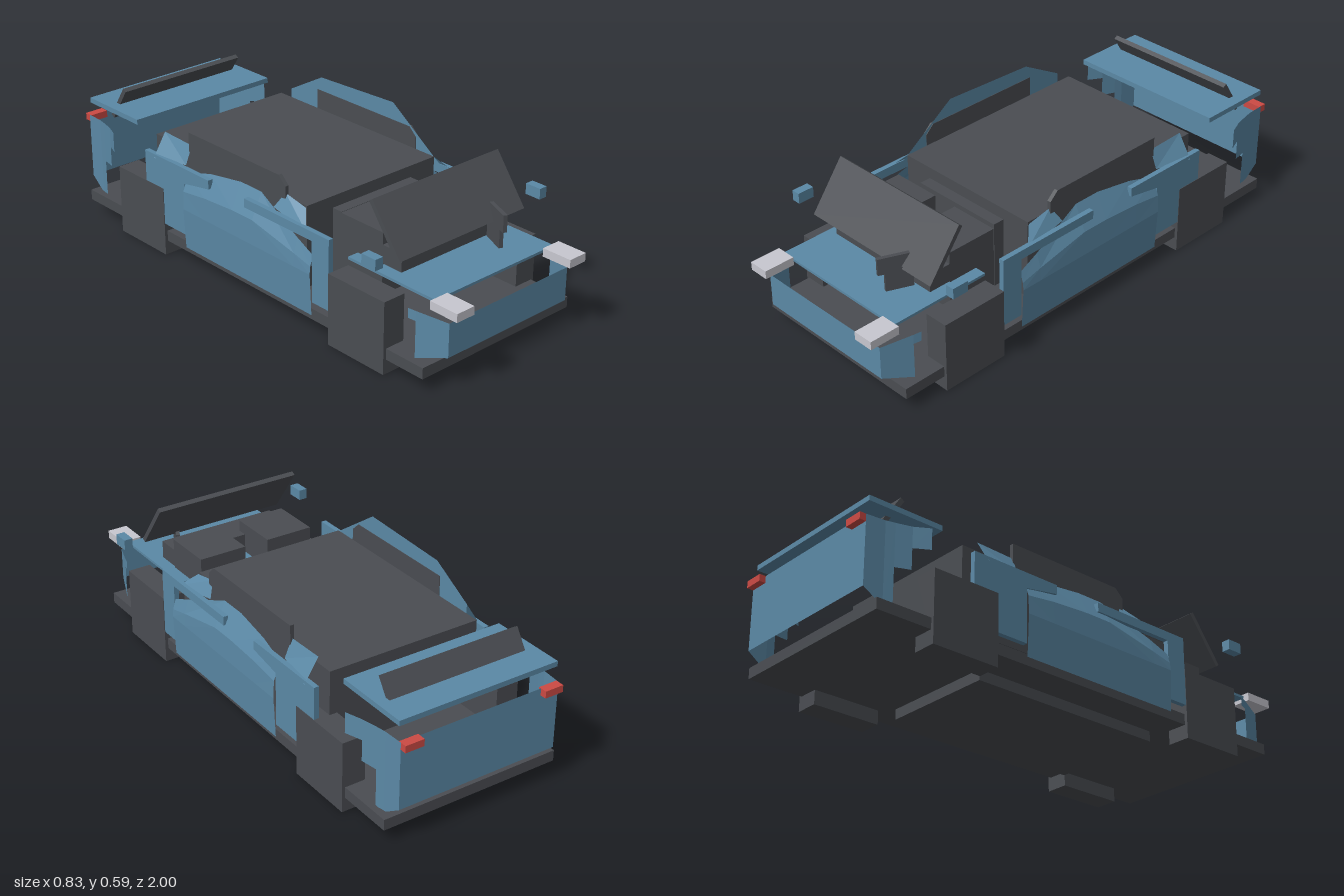
import * as THREE from 'three';

const paint = (name, color) => Object.assign(new THREE.MeshStandardMaterial({ color, side: THREE.DoubleSide, flatShading: true }), { name });

export function createModel() {
  const blue = paint('bodyBlue', 0x5b89a6);
  const dark = paint('darkGrey', 0x4a4d52);
  const pale = paint('lampGrey', 0xc8c8d0);
  const red = paint('tailRed', 0xcc4a44);
  const inward = paint('innerBodyBlue', 0x5b89a6);
  inward.side = THREE.FrontSide;

  const car = new THREE.Group();
  car.name = 'car';

  const add = (name, geometry, material) => {
    const mesh = new THREE.Mesh(geometry, material);
    mesh.name = name;
    car.add(mesh);
    return mesh;
  };

  // Box given by its limits on each axis
  const block = (x0, x1, y0, y1, z0, z1) =>
    new THREE.BoxGeometry(x1 - x0, y1 - y0, z1 - z0).translate((x0 + x1) / 2, (y0 + y1) / 2, (z0 + z1) / 2);

  // Adds a left part and its mirror image with the winding reversed
  const pair = (name, geometry, material) => {
    const left = geometry.index ? geometry.toNonIndexed() : geometry;
    const right = left.clone();
    const p = right.attributes.position;
    for (let i = 0; i < p.count; i += 3) {
      const t = [0, 2, 1].map((k) => [-p.getX(i + k), p.getY(i + k), p.getZ(i + k)]);
      t.forEach((v, k) => p.setXYZ(i + k, ...v));
    }
    right.computeVertexNormals();
    add(name + 'Left', left, material);
    add(name + 'Right', right, material);
  };

  // Open sheet through cross-sections with equal numbers of points
  const sheet = (rows) => {
    const pos = [];
    for (let i = 0; i + 1 < rows.length; i++) {
      for (let j = 0; j + 1 < rows[i].length; j++) {
        const [a, b, c, d] = [rows[i][j], rows[i + 1][j], rows[i + 1][j + 1], rows[i][j + 1]];
        pos.push(...a, ...b, ...c, ...a, ...c, ...d);
      }
    }
    const g = new THREE.BufferGeometry();
    g.setAttribute('position', new THREE.Float32BufferAttribute(pos, 3));
    g.computeVertexNormals();
    return g;
  };

  const outline = (points) => new THREE.Shape(points.map((p) => new THREE.Vector2(...p)));

  // Flat side panel drawn in (z, y), from x0 to x1
  const sidePanel = (points, x0, x1) =>
    new THREE.ExtrudeGeometry(outline(points), { depth: x1 - x0, bevelEnabled: false })
      .rotateY(-Math.PI / 2).translate(x1, 0, 0);

  // Tilted pane between two (y, z) edges
  const pane = (name, halfWidth, y0, z0, y1, z1) => {
    const mesh = add(name, new THREE.BoxGeometry(halfWidth * 2, Math.hypot(y1 - y0, z1 - z0), 0.018), dark);
    mesh.position.set(0, (y0 + y1) / 2, (z0 + z1) / 2);
    mesh.rotation.x = Math.atan2(z1 - z0, y1 - y0);
  };

  // Underside and cabin
  add('chassis', block(-0.36, 0.36, 0.055, 0.097, -0.945, 0.9), dark);
  add('lowerFloor', block(-0.23, 0.23, 0.015, 0.055, -0.41, 0.41), dark);
  add('cabin', block(-0.31, 0.31, 0.13, 0.445, -0.56, 0.285), dark);
  add('cabinStep', block(-0.19, 0.19, 0.14, 0.4, 0.28, 0.33), dark);
  add('dashboard', block(-0.245, 0.245, 0.32, 0.39, 0.55, 0.68), dark);
  pair('seat', block(0.05, 0.245, 0.2, 0.435, 0.385, 0.59), dark);
  pair('frontWheel', block(0.28, 0.372, 0, 0.275, 0.46, 0.73), dark);
  pair('rearWheel', block(0.28, 0.372, 0, 0.275, -0.725, -0.45), dark);

  // Glass
  pane('windshield', 0.303, 0.392, 0.722, 0.573, 0.588);
  pane('rearWindow', 0.28, 0.41, -0.883, 0.542, -0.797);
  pair('sideWindow', sidePanel([[0.19, 0.41], [0.19, 0.49], [0.155, 0.523], [-0.345, 0.523], [-0.345, 0.39]], 0.31, 0.325), dark);

  // Notched steering plate
  const steering = add('steeringPlate', new THREE.ExtrudeGeometry(
    outline([[0, 0.07], [0, 0.135], [0.115, 0.135], [0.082, 0.085], [0.125, 0.072], [0.125, 0], [0.025, 0], [0.025, 0.07]]),
    { depth: 0.015, bevelEnabled: false }), dark);
  steering.position.set(0.115, 0.32, 0.8);
  steering.rotation.y = 1.17;

  // Hood, boot lid, mirrors and lights
  add('hood', block(-0.29, 0.29, 0.305, 0.315, 0.47, 0.88), blue);
  add('bootLid', block(-0.325, 0.325, 0.455, 0.475, -0.965, -0.66), blue);
  pair('mirror', block(0.382, 0.416, 0.405, 0.446, 0.665, 0.73), blue);
  pair('headlight', block(0.235, 0.315, 0.29, 0.322, 0.88, 1), pale);
  pair('tailLight', block(0.25, 0.325, 0.373, 0.4, -1, -0.965), red);

  // Bumpers made from thin sheets; each row is [x, z, bottom, top]
  const wrap = (rows) => sheet(rows.map(([x, z, y0, y1]) => [[x, y0, z], [x, y1, z]]));
  add('frontBumper', wrap([[-0.29, 0.945, 0.127, 0.255], [0.29, 0.945, 0.127, 0.255]]), blue);
  pair('frontBumperCorner', wrap([
    [0.29, 0.945, 0.127, 0.255], [0.332, 0.835, 0.097, 0.272],
    [0.332, 0.835, 0.235, 0.272], [0.34, 0.807, 0.238, 0.275]]), blue);
  add('rearBumper', wrap([[0.325, -0.975, 0.14, 0.4], [-0.325, -0.975, 0.14, 0.4]]), blue);
  pair('rearBumperCorner', wrap([
    [0.325, -0.975, 0.14, 0.4], [0.33, -0.9, 0.09, 0.402], [0.337, -0.865, 0.1, 0.403],
    [0.337, -0.865, 0.24, 0.403], [0.352, -0.805, 0.245, 0.405],
    [0.352, -0.805, 0.325, 0.405], [0.378, -0.745, 0.33, 0.41]]), blue);

  // Fenders reach along the shoulder over the door
  pair('frontFender', sidePanel([[0.46, 0.13], [0.46, 0.4], [0.02, 0.4], [0.02, 0.365], [0.375, 0.365], [0.375, 0.13]], 0.35, 0.37), blue);
  pair('rearFender', sidePanel([[-0.555, 0.13], [-0.555, 0.4], [-0.18, 0.4], [-0.18, 0.365], [-0.32, 0.34], [-0.32, 0.13]], 0.35, 0.37), blue);

  // Door skin; each row is [z, shoulder height, top height, top x]
  pair('door', sheet([
    [0.375, 0.27, 0.31, 0.365], [0.29, 0.29, 0.345, 0.36], [0.07, 0.335, 0.432, 0.332],
    [-0.04, 0.335, 0.432, 0.332], [-0.2, 0.325, 0.41, 0.34], [-0.32, 0.31, 0.38, 0.35],
  ].map(([z, shoulder, top, x]) => [[0.372, 0.08, z], [0.38, 0.24, z], [0.377, shoulder, z], [x, top, z]])), blue);

  // Roof side seen only from inside the car
  pair('roofSide', new THREE.ShapeGeometry(outline([
    [0.35, 0.4], [0.287, 0.44], [0.067, 0.592], [-0.325, 0.577], [-0.5, 0.48], [-0.5, 0.4],
  ])).rotateY(-Math.PI / 2).translate(0.312, 0, 0), inward);

  // Flared pillar feet
  pair('frontPillarFoot', sheet([
    [[0.365, 0.385, 0.34], [0.315, 0.44, 0.285]],
    [[0.345, 0.405, 0.15], [0.315, 0.46, 0.18]]]), blue);
  pair('rearPillarFoot', sheet([
    [[0.345, 0.4, -0.34], [0.315, 0.47, -0.34]],
    [[0.372, 0.385, -0.5], [0.315, 0.475, -0.5]]]), blue);

  return car;
}
